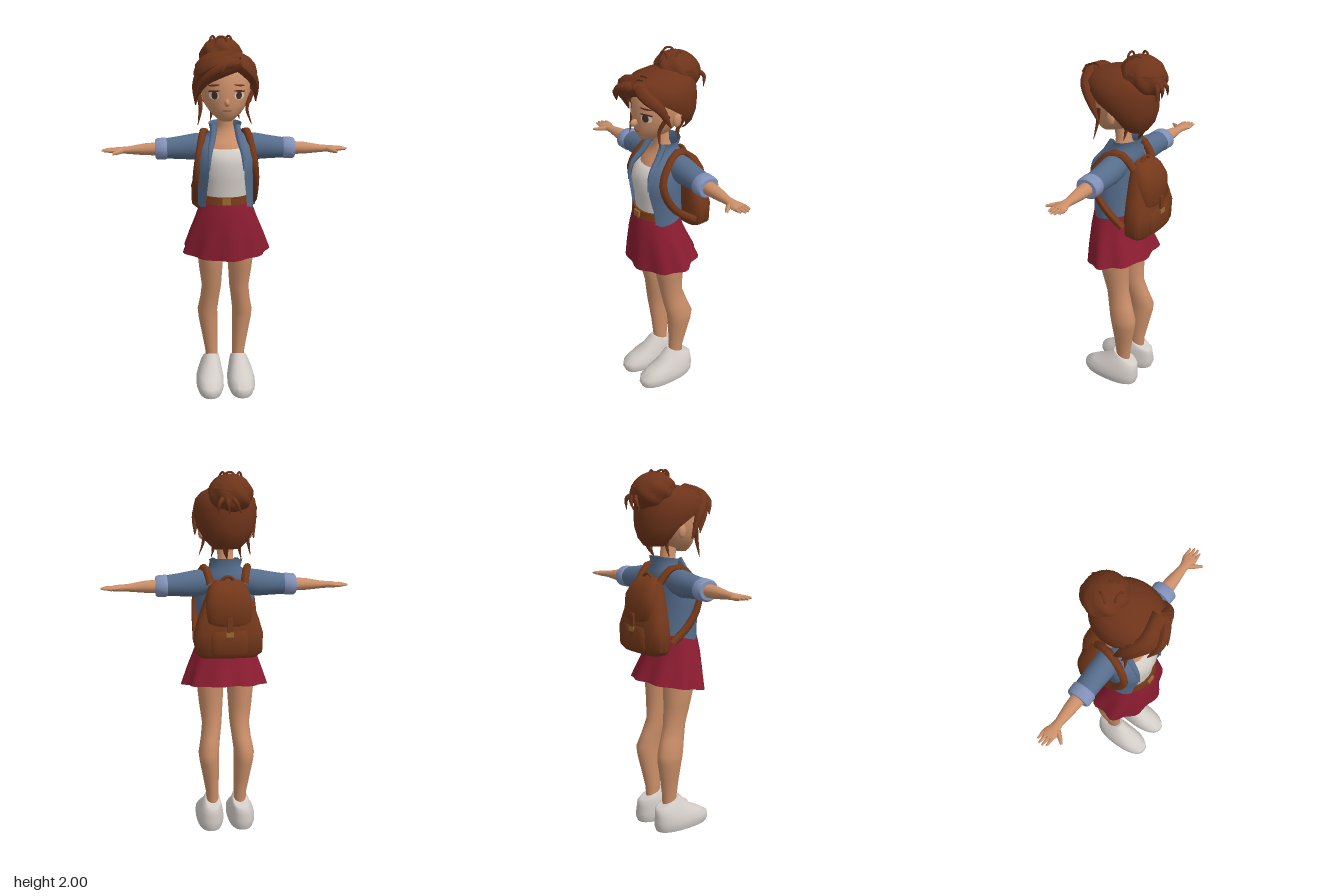
import * as THREE from 'three';
import { toCreasedNormals } from 'three/addons/utils/BufferGeometryUtils.js';

const mat = (name, color, side = THREE.FrontSide) => {
  const m = new THREE.MeshStandardMaterial({ color, side });
  m.name = name;
  return m;
};
const V = (p) => new THREE.Vector3(...p);

// Skin a stack of ellipses, lowest first: [y, cx, cz, rx, rz, opening angle, front tilt, fold depth]
function loft(rows, { n = 20, caps = true, pow = 1, crease = 0.9 } = {}) {
  const pos = [], idx = [], w = n + 1;
  const bend = (v) => Math.sign(v) * Math.abs(v) ** pow;
  for (const [y, cx, cz, rx, rz, t0 = 0, tilt = 0, fold = 0] of rows) {
    for (let j = 0; j <= n; j++) {
      const t = t0 + (j / n) * 2 * (Math.PI - t0);
      const k = 1 + fold * (Math.sin(9 * t) + 0.5 * Math.sin(5 * t + 1));
      pos.push(cx + rx * k * bend(Math.sin(t)), y + tilt * Math.cos(t), cz + rz * k * bend(Math.cos(t)));
    }
  }
  for (let i = 0; i < rows.length - 1; i++) {
    for (let j = 0; j < n; j++) {
      const a = i * w + j, b = a + w;
      idx.push(a, a + 1, b + 1, a, b + 1, b);
    }
  }
  if (caps) {
    [0, rows.length - 1].forEach((i) => {
      const c = pos.length / 3;
      pos.push(rows[i][1], rows[i][0], rows[i][2]);
      for (let j = 0; j < n; j++) {
        const a = i * w + j;
        if (i) idx.push(c, a, a + 1); else idx.push(c, a + 1, a);
      }
    });
  }
  const g = new THREE.BufferGeometry();
  g.setAttribute('position', new THREE.Float32BufferAttribute(pos, 3));
  g.setIndex(idx);
  return toCreasedNormals(g, crease);
}

// Loft running out along +x: [x, cy, cz, ry, rz]
const loftX = (rows, opt) =>
  loft(rows.map(([x, cy, cz, ry, rz]) => [x, -cy, cz, ry, rz]), opt).rotateZ(-Math.PI / 2);

// Tube along a smooth path, thinning to the given end size
function strand(points, r, tip = 0.08) {
  const curve = new THREE.CatmullRomCurve3(points.map(V)), seg = 14, rad = 8;
  const g = new THREE.TubeGeometry(curve, seg, r, rad);
  const p = g.attributes.position, v = new THREE.Vector3();
  for (let i = 0; i <= seg; i++) {
    const c = curve.getPointAt(i / seg), k = 1 + (tip - 1) * (i / seg) ** 2;
    for (let j = 0; j <= rad; j++) {
      const q = i * (rad + 1) + j;
      v.fromBufferAttribute(p, q).sub(c).multiplyScalar(k).add(c);
      p.setXYZ(q, v.x, v.y, v.z);
    }
  }
  g.computeVertexNormals();
  return g;
}

// Mirror a geometry across x = 0, keeping faces outward
function mirrored(geo) {
  const g = geo.index ? geo.toNonIndexed() : geo.clone();
  for (const a of [g.attributes.position, g.attributes.normal]) {
    for (let i = 0; i < a.count; i++) a.setX(i, -a.getX(i));
    for (let i = 0; i < a.count; i += 3) {
      const b = [a.getX(i + 1), a.getY(i + 1), a.getZ(i + 1)];
      a.setXYZ(i + 1, a.getX(i + 2), a.getY(i + 2), a.getZ(i + 2));
      a.setXYZ(i + 2, ...b);
    }
  }
  return g;
}

const HEAD = [
  [1.56, 0, 0.085, 0.025, 0.025], [1.575, 0, 0.07, 0.05, 0.055], [1.6, 0, 0.045, 0.08, 0.095],
  [1.64, 0, 0.022, 0.11, 0.128], [1.69, 0, 0.01, 0.128, 0.138], [1.76, 0, 0, 0.135, 0.15],
  [1.84, 0, -0.02, 0.125, 0.14], [1.89, 0, -0.02, 0.07, 0.08],
];
function faceZ(x, y) {
  const i = HEAD.findIndex((r) => r[0] > y) - 1;
  const f = (y - HEAD[i][0]) / (HEAD[i + 1][0] - HEAD[i][0]);
  const [cz, rx, rz] = [2, 3, 4].map((k) => HEAD[i][k] * (1 - f) + HEAD[i + 1][k] * f);
  return cz + rz * Math.sqrt(Math.max(0, 1 - (x / rx) ** 2));
}
// Thin oval laid on the face
function decal(x, y, rx, ry, lift, turn = 0) {
  const g = new THREE.CircleGeometry(1, 18).scale(rx, ry, 1).rotateZ(turn).translate(x, y, 0);
  const p = g.attributes.position;
  for (let i = 0; i < p.count; i++) p.setZ(i, faceZ(p.getX(i), p.getY(i)) + lift);
  g.computeVertexNormals();
  return g;
}

export function createModel() {
  const root = new THREE.Group();
  root.name = 'girlWithBackpack';
  const D = THREE.DoubleSide;
  const skin = mat('skin', 0xcb8f69), hair = mat('hair', 0x6e341a, D), denim = mat('denim', 0x566d8c, D);
  const cuffBlue = mat('cuffBlue', 0x8191b8), red = mat('skirtRed', 0x8a1c30, D), white = mat('white', 0xd2ccc7);
  const leather = mat('leather', 0x74381a), iris = mat('iris', 0x4a2c20), lip = mat('lip', 0xa2604c), brass = mat('brass', 0x9a6a30);

  const add = (name, geo, m) => {
    const mesh = new THREE.Mesh(geo, m);
    mesh.name = name;
    root.add(mesh);
  };
  const pair = (name, geo, m) => {
    add('left' + name, geo, m);
    add('right' + name, mirrored(geo), m);
  };
  const box = (w, h, d, x, y, z) => new THREE.BoxGeometry(w, h, d).translate(x, y, z);
  const ball = (rx, ry, rz, x, y, z) => new THREE.SphereGeometry(1, 20, 14).scale(rx, ry, rz).translate(x, y, z);

  // Head and face
  add('head', loft(HEAD, { n: 28 }), skin);
  add('nose', ball(0.014, 0.02, 0.026, 0, 1.663, 0.155), skin);
  pair('Ear', ball(0.014, 0.036, 0.024, 0.133, 1.68, -0.015), skin);
  pair('EyeWhite', decal(0.066, 1.7, 0.026, 0.022, 0.003), white);
  pair('Iris', decal(0.064, 1.7, 0.016, 0.02, 0.005), iris);
  pair('Lash', decal(0.068, 1.722, 0.03, 0.005, 0.006, -0.1), iris);
  pair('Brow', decal(0.066, 1.752, 0.03, 0.005, 0.004, -0.12), hair);
  add('mouth', decal(0, 1.62, 0.026, 0.005, 0.004), lip);

  // Neck and upper chest
  add('neckAndChest', loft([
    [1.3, 0, 0.03, 0.12, 0.1], [1.39, 0, 0.015, 0.12, 0.098], [1.45, 0, -0.01, 0.105, 0.075],
    [1.49, 0, -0.015, 0.06, 0.05], [1.53, 0, -0.01, 0.042, 0.042], [1.62, 0, 0, 0.044, 0.044]]), skin);

  // Hair shell, open at the face
  add('hairShell', loft([
    [1.6, 0, -0.1, 0.07, 0.05, 1.3], [1.64, 0, -0.075, 0.115, 0.105, 1.6], [1.7, 0, -0.04, 0.15, 0.158, 1.62],
    [1.76, 0, -0.015, 0.168, 0.185, 1.25], [1.81, 0, -0.002, 0.17, 0.195, 0.85], [1.85, 0, 0, 0.16, 0.19, 0.25],
    [1.885, 0, -0.005, 0.13, 0.155], [1.91, 0, -0.015, 0.085, 0.1], [1.92, 0, -0.02, 0.02, 0.02]],
  { n: 32, caps: false, crease: 1.2 }), hair);

  // Fringe swept from a parting, side locks and loose wisps
  [
    [[[0.06, 1.87, 0.16], [-0.04, 1.83, 0.185], [-0.12, 1.77, 0.135], [-0.165, 1.67, 0.08]], 0.042],
    [[[0.05, 1.88, 0.14], [-0.08, 1.85, 0.155], [-0.15, 1.77, 0.09], [-0.16, 1.64, 0.03]], 0.044],
    [[[0.06, 1.86, 0.16], [0, 1.865, 0.205], [-0.06, 1.83, 0.22], [-0.11, 1.76, 0.19]], 0.03],
    [[[0.05, 1.87, 0.16], [0.1, 1.83, 0.15], [0.145, 1.77, 0.1], [0.16, 1.66, 0.04]], 0.036],
    [[[0.04, 1.87, 0.17], [0.0, 1.87, 0.22], [-0.03, 1.83, 0.245]], 0.018],
    [[[-0.15, 1.72, 0.06], [-0.135, 1.64, 0.08], [-0.15, 1.54, 0.09]], 0.014],
    [[[0.145, 1.72, 0.05], [0.11, 1.63, 0.08], [0.135, 1.54, 0.09]], 0.012],
    [[[-0.1, 1.68, -0.08], [-0.07, 1.61, -0.07], [-0.08, 1.54, -0.06]], 0.014],
    [[[0.1, 1.68, -0.08], [0.07, 1.61, -0.07], [0.08, 1.55, -0.06]], 0.014],
    [[[0, 1.66, -0.15], [0.01, 1.6, -0.13], [0, 1.54, -0.1]], 0.02],
  ].forEach(([p, r], i) => add('hairLock' + (i + 1), strand(p, r), hair));

  // Bun with twisted ridges, wrapped strands and stray loops
  const bun = new THREE.SphereGeometry(1, 36, 18), bp = bun.attributes.position;
  for (let i = 0; i < bp.count; i++) {
    const v = new THREE.Vector3().fromBufferAttribute(bp, i);
    const k = 1 + 0.045 * Math.sin(7 * Math.atan2(v.x, v.z) + 4 * v.y) * (1 - v.y * v.y);
    bp.setXYZ(i, v.x * k * 0.117, v.y * 0.1, v.z * k * 0.122);
  }
  bun.computeVertexNormals();
  add('bun', bun.rotateX(-0.35).translate(-0.015, 1.885, -0.12), hair);
  for (let i = 0; i < 3; i++) {
    const g = new THREE.TorusGeometry(0.1, 0.016, 6, 24).rotateX(1.1 + i * 0.3).rotateY(i * 1.9);
    add('bunStrand' + (i + 1), g.translate(-0.015, 1.89 + i * 0.004, -0.12), hair);
    const a = i * 2.1;
    const loop = new THREE.TorusGeometry(0.028, 0.006, 5, 14).rotateY(a);
    add('bunLoop' + (i + 1), loop.translate(-0.02 + 0.05 * Math.sin(a), 1.965, -0.08 + 0.04 * Math.cos(a)), hair);
    add('bunWisp' + (i + 1), strand([[0, 1.88, -0.18], [-0.03 + i * 0.04, 1.85, -0.24], [-0.06 + i * 0.06, 1.79, -0.235]], 0.016), hair);
  }

  // Tank top and belt
  add('tankTop', loft([
    [1.12, 0, 0.025, 0.12, 0.105], [1.24, 0, 0.03, 0.125, 0.108], [1.33, 0, 0.035, 0.135, 0.118],
    [1.38, 0, 0.025, 0.13, 0.112], [1.42, 0, 0.01, 0.122, 0.098, 0, -0.012]], { n: 24 }), white);
  add('belt', loft([[1.115, 0, 0.026, 0.143, 0.126], [1.155, 0, 0.026, 0.132, 0.118]], { n: 24 }), leather);
  add('beltBuckle', box(0.045, 0.036, 0.012, 0, 1.135, 0.149), brass);

  // Open jacket with standing collar, sleeves and rolled cuffs
  add('jacket', loft([
    [1.1, 0, 0.02, 0.152, 0.128, 0.85, -0.03], [1.17, 0, 0.022, 0.15, 0.126, 0.78], [1.27, 0, 0.03, 0.158, 0.128, 0.64],
    [1.35, 0, 0.034, 0.165, 0.132, 0.6], [1.42, 0, 0.008, 0.15, 0.114, 0.62], [1.465, 0, -0.02, 0.115, 0.09, 0.68],
    [1.495, 0, -0.03, 0.08, 0.068, 0.7], [1.535, 0, -0.035, 0.09, 0.075, 0.75, -0.01]],
  { n: 28, caps: false, crease: 1.2 }), denim);
  pair('Lapel', strand([[0.062, 1.525, 0.02], [0.072, 1.46, 0.06], [0.088, 1.39, 0.12], [0.093, 1.3, 0.14]], 0.018, 0.2), denim);
  pair('Sleeve', loftX([
    [0.07, 1.415, -0.03, 0.05, 0.06], [0.12, 1.412, -0.032, 0.07, 0.066], [0.17, 1.405, -0.034, 0.073, 0.066],
    [0.25, 1.4, -0.035, 0.063, 0.062], [0.34, 1.395, -0.035, 0.054, 0.06]]), denim);
  pair('Cuff', loftX([[0.315, 1.396, -0.035, 0.055, 0.062], [0.325, 1.396, -0.035, 0.06, 0.067],
    [0.37, 1.394, -0.035, 0.058, 0.067], [0.38, 1.394, -0.035, 0.05, 0.06]]), cuffBlue);

  // Forearms, hands and fingers
  pair('ForearmAndHand', loftX([
    [0.36, 1.394, -0.035, 0.036, 0.04], [0.44, 1.392, -0.036, 0.032, 0.035], [0.53, 1.388, -0.036, 0.02, 0.024],
    [0.56, 1.388, -0.036, 0.018, 0.028], [0.595, 1.387, -0.038, 0.016, 0.04], [0.62, 1.386, -0.04, 0.011, 0.038]], { n: 14 }), skin);
  for (let i = 0; i < 4; i++) {
    const z = -0.069 + i * 0.019, end = [0.655, 0.67, 0.672, 0.66][i];
    pair('Finger' + (i + 1), strand([[0.61, 1.386, z], [0.64, 1.388, z], [end, 1.386, z * 1.05]], 0.01, 0.4), skin);
  }
  pair('Thumb', strand([[0.56, 1.387, -0.02], [0.585, 1.383, 0.012], [0.61, 1.38, 0.042]], 0.014, 0.4), skin);

  // Flared skirt with folds
  add('skirt', loft([
    [0.835, 0, -0.008, 0.235, 0.18, 0, -0.027, 0.048], [0.93, 0, 0.01, 0.205, 0.16, 0, -0.015, 0.03],
    [1.02, 0, 0.025, 0.172, 0.14, 0, -0.005, 0.012], [1.1, 0, 0.028, 0.143, 0.125, 0, 0, 0.005], [1.155, 0, 0.026, 0.126, 0.112]],
  { n: 54, caps: false }), red);
  add('hips', loft([[0.86, 0, 0, 0.13, 0.09], [0.92, 0, 0, 0.15, 0.1], [1.1, 0, 0.02, 0.125, 0.1]]), red);

  // Legs and shoes
  pair('Leg', loft([
    [0.1, 0.078, -0.058, 0.034, 0.042], [0.2, 0.079, -0.058, 0.036, 0.045], [0.3, 0.088, -0.065, 0.045, 0.058],
    [0.4, 0.097, -0.07, 0.055, 0.074], [0.45, 0.1, -0.069, 0.057, 0.08], [0.53, 0.088, -0.045, 0.054, 0.073],
    [0.61, 0.078, -0.024, 0.055, 0.066], [0.72, 0.082, -0.01, 0.066, 0.078], [0.82, 0.084, 0, 0.074, 0.093],
    [0.95, 0.08, 0, 0.076, 0.098]], { n: 18 }), skin);
  pair('Shoe', loft([
    [0, 0.09, 0.02, 0.07, 0.168], [0.025, 0.09, 0.021, 0.079, 0.178], [0.055, 0.09, 0.018, 0.079, 0.176],
    [0.09, 0.088, -0.008, 0.07, 0.147], [0.125, 0.084, -0.045, 0.058, 0.108], [0.16, 0.08, -0.065, 0.046, 0.076, 0, 0.025],
    [0.168, 0.08, -0.062, 0.04, 0.062, 0, 0.027]], { n: 24, pow: 0.85 }), white);

  // Backpack body, flap, pocket, buckles, handle and straps
  add('backpackBody', loft([
    [1.03, 0, -0.165, 0.15, 0.055], [1.055, 0, -0.168, 0.182, 0.072], [1.16, 0, -0.17, 0.185, 0.074],
    [1.23, 0, -0.162, 0.165, 0.066], [1.34, 0, -0.15, 0.125, 0.055], [1.41, 0, -0.14, 0.1, 0.04]], { n: 28, pow: 0.65 }), leather);
  add('backpackFlap', loft([
    [1.205, 0, -0.175, 0.11, 0.06], [1.225, 0, -0.175, 0.128, 0.07], [1.34, 0, -0.17, 0.122, 0.068],
    [1.4, 0, -0.155, 0.1, 0.05], [1.435, 0, -0.135, 0.07, 0.025]], { n: 28, pow: 0.7 }), leather);
  add('backpackPocket', loft([
    [1.05, 0, -0.225, 0.09, 0.022], [1.065, 0, -0.226, 0.1, 0.029], [1.16, 0, -0.226, 0.1, 0.029],
    [1.18, 0, -0.225, 0.09, 0.02]], { pow: 0.6 }), leather);
  add('flapStrap', box(0.03, 0.12, 0.012, 0, 1.19, -0.249), leather);
  add('flapBuckle', box(0.04, 0.025, 0.01, 0, 1.165, -0.254), brass);
  add('backpackHandle', new THREE.TorusGeometry(0.035, 0.009, 6, 16, Math.PI).translate(0, 1.42, -0.145), leather);
  pair('ShoulderStrap', strand([
    [0.09, 1.41, -0.13], [0.105, 1.475, -0.08], [0.12, 1.488, -0.02], [0.135, 1.43, 0.045], [0.15, 1.35, 0.085],
    [0.16, 1.26, 0.065], [0.162, 1.17, 0], [0.165, 1.09, -0.11]], 0.021, 1), leather);

  return root;
}
